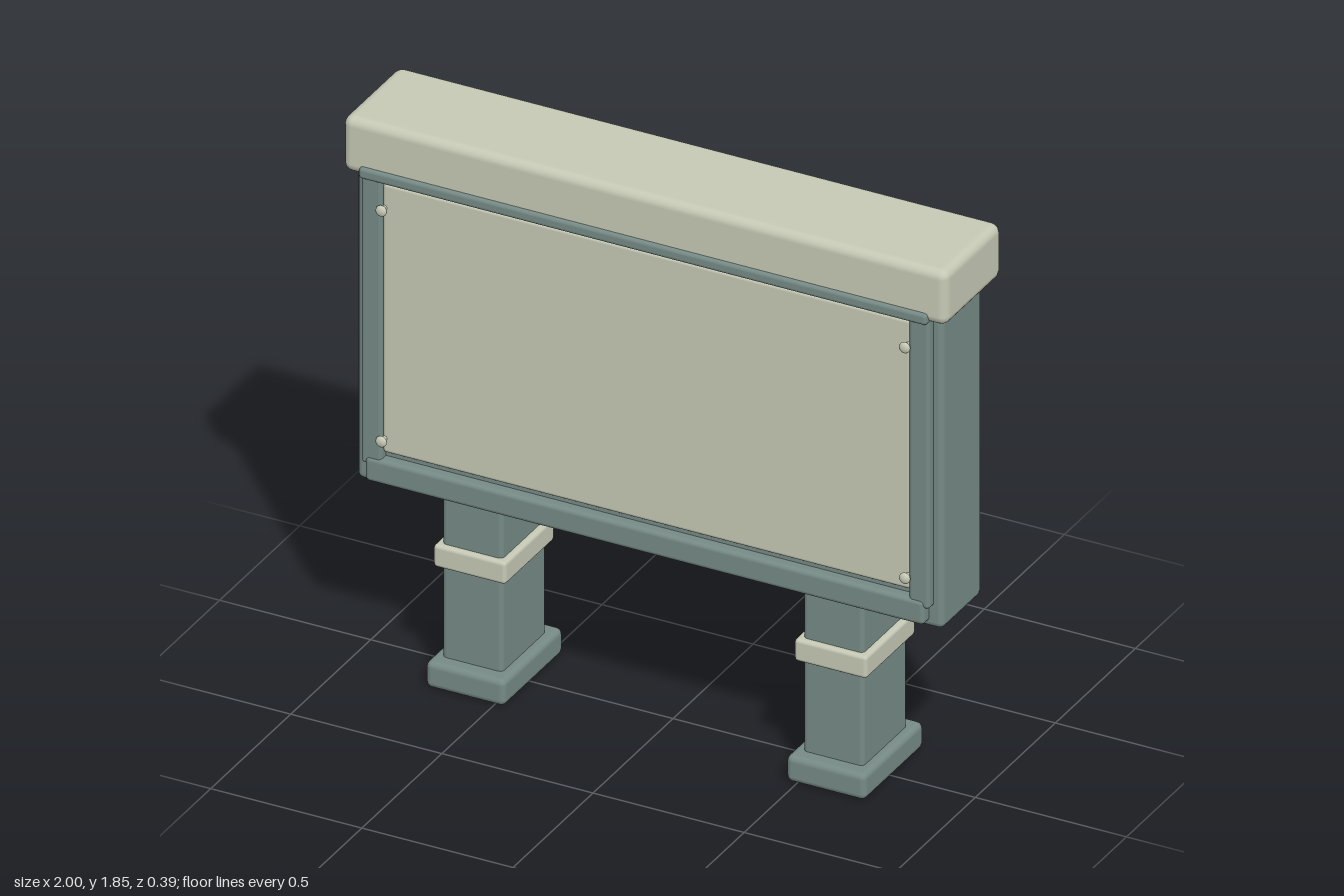
import * as THREE from 'three';
import { RoundedBoxGeometry } from 'three/addons/geometries/RoundedBoxGeometry.js';

export function createModel() {
  const model = new THREE.Group();
  model.name = 'noticeBoard';
  const teal = new THREE.MeshStandardMaterial({ color: 0x768a86 });
  teal.name = 'slateTeal';
  const cream = new THREE.MeshStandardMaterial({ color: 0xc6c9b5 });
  cream.name = 'paleStone';

  // Soft-edged box given by its [min, max] extents on each axis
  function block(name, material, [x0, x1], [y0, y1], [z0, z1], radius) {
    const geometry = new RoundedBoxGeometry(x1 - x0, y1 - y0, z1 - z0, 2, radius);
    const mesh = new THREE.Mesh(geometry, material);
    mesh.name = name;
    mesh.position.set((x0 + x1) / 2, (y0 + y1) / 2, (z0 + z1) / 2);
    model.add(mesh);
    return mesh;
  }

  // Cabinet and its roof cap
  block('cabinet', teal, [-0.97, 0.97], [0.625, 1.72], [-0.1, 0.147], 0.02);
  block('roofCap', cream, [-1, 1], [1.665, 1.85], [-0.17, 0.183], 0.03);

  // Display panel and the rails around it
  block('displayPanel', cream, [-0.875, 0.875], [0.745, 1.65], [0.13, 0.165], 0.012);
  block('topRail', teal, [-0.94, 0.94], [1.662, 1.7], [0.14, 0.195], 0.012);
  block('bottomRail', teal, [-0.925, 0.925], [0.645, 0.727], [0.13, 0.183], 0.015);

  for (const [side, s] of [['left', 1], ['right', -1]]) {
    const span = (a, b) => (s > 0 ? [a, b] : [-b, -a]);
    block(side + 'Rail', teal, span(0.872, 0.94), [0.7, 1.68], [0.13, 0.177], 0.012);

    // Panel bolts
    for (const y of [0.795, 1.57]) {
      const bolt = new THREE.Mesh(new THREE.SphereGeometry(0.018, 16, 10), cream);
      bolt.name = side + 'Bolt';
      bolt.scale.z = 0.6;
      bolt.position.set(s * 0.866, y, 0.188);
      model.add(bolt);
      const shank = new THREE.Mesh(new THREE.CylinderGeometry(0.008, 0.008, 0.03, 10), cream);
      shank.name = side + 'BoltShank';
      shank.rotation.x = Math.PI / 2;
      shank.position.set(s * 0.866, y, 0.172);
      model.add(shank);
    }

    // Post running up the back of the cabinet, with collar and foot
    block(side + 'Post', teal, span(0.497, 0.697), [0.03, 0.925], [-0.147, 0.128], 0.015);
    block(side + 'Collar', cream, span(0.477, 0.717), [0.393, 0.468], [-0.162, 0.147], 0.012);
    block(side + 'Foot', teal, span(0.465, 0.728), [0, 0.088], [-0.195, 0.177], 0.02);
  }
  return model;
}
